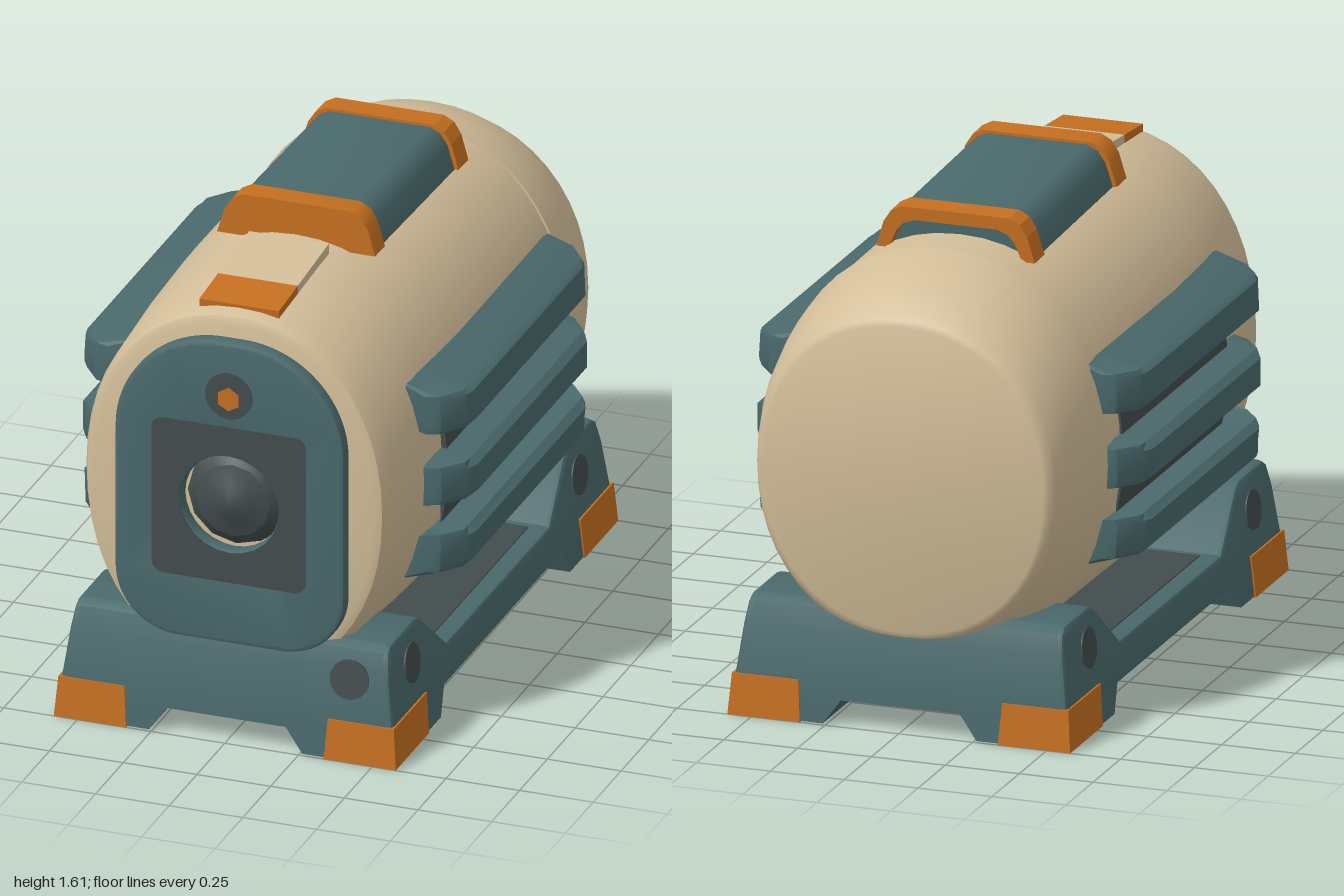
import * as THREE from 'three';
import { toCreasedNormals } from 'three/addons/utils/BufferGeometryUtils.js';

const mat = (name, color) => Object.assign(new THREE.MeshStandardMaterial({ color }), { name });

// Skin closed rings of [x, y, z] points; rings run counter-clockwise seen from +z, front to back.
function loft(rings, crease = 0.6) {
  const n = rings[0].length, index = [];
  for (let i = 0; i < rings.length - 1; i++) {
    for (let j = 0; j < n; j++) {
      const k = (j + 1) % n, a = i * n + j, b = i * n + k, c = b + n, d = a + n;
      index.push(a, d, c, a, c, b);
    }
  }
  const last = (rings.length - 1) * n;
  for (let j = 1; j < n - 1; j++) index.push(0, j, j + 1, last, last + j + 1, last + j);
  const g = new THREE.BufferGeometry();
  g.setAttribute('position', new THREE.Float32BufferAttribute(rings.flat(2), 3));
  g.setIndex(index);
  return toCreasedNormals(g, crease);
}

// Box with different bottom and top rectangles: [x0, x1, z0, z1]
function frustum(y0, y1, bottom, top) {
  const g = new THREE.BoxGeometry(1, 1, 1), p = g.attributes.position;
  for (let i = 0; i < p.count; i++) {
    const r = p.getY(i) > 0 ? top : bottom;
    p.setXYZ(i, r[p.getX(i) > 0 ? 1 : 0], p.getY(i) > 0 ? y1 : y0, r[p.getZ(i) > 0 ? 3 : 2]);
  }
  g.computeVertexNormals();
  return g;
}

// Rounded outline with separate bottom and top corner radii
function roundedShape(x, y0, y1, rb, rt) {
  const s = new THREE.Shape();
  s.absarc(x - rb, y0 + rb, rb, -Math.PI / 2, 0, false);
  s.absarc(x - rt, y1 - rt, rt, 0, Math.PI / 2, false);
  s.absarc(-x + rt, y1 - rt, rt, Math.PI / 2, Math.PI, false);
  s.absarc(-x + rb, y0 + rb, rb, Math.PI, Math.PI * 1.5, false);
  s.closePath();
  return s;
}

function withHole(shape, x, y, r) {
  const h = new THREE.Path();
  h.absarc(x, y, r, 0, Math.PI * 2, true);
  shape.holes.push(h);
  return shape;
}

export function createModel() {
  const model = new THREE.Group();
  model.name = 'portableMachine';
  const beige = mat('beige', 0xd3be99), teal = mat('teal', 0x4a696c);
  const orange = mat('orange', 0xc56f20), dark = mat('darkGrey', 0x434c4d);
  const add = (name, geometry, material, parent = model) => {
    const m = new THREE.Mesh(geometry, material);
    m.name = name;
    parent.add(m);
    return m;
  };

  // Barrel body with a recess in the front
  const CY = 0.835;
  const pt = (t, rx, ry, z) => {
    const c = Math.cos(t), s = Math.sin(t), e = 0.94;
    return [rx * Math.sign(c) * Math.abs(c) ** e, CY + ry * Math.sign(s) * Math.abs(s) ** e, z];
  };
  const oval = ([z, rx, ry]) => Array.from({ length: 48 }, (_, i) => pt(i / 24 * Math.PI, rx, ry, z));
  add('body', loft([
    [0.84, 0.3, 0.4], [0.92, 0.3, 0.4], [0.92, 0.475, 0.595], [0.91, 0.5, 0.62], [0.86, 0.522, 0.638],
    [0.5, 0.545, 0.663], [0.2, 0.555, 0.672], [-0.61, 0.555, 0.66],
  ].map(oval)), beige);
  add('rearShroud', loft([
    [-0.605, 0.562, 0.667], [-0.72, 0.552, 0.648], [-0.85, 0.53, 0.605], [-0.93, 0.505, 0.555],
    [-0.955, 0.49, 0.53], [-0.963, 0.475, 0.51],
  ].map(oval)), beige);

  // Front panel with the dark square and recessed hub
  const panel = new THREE.ExtrudeGeometry(withHole(roundedShape(0.375, 0.345, 1.37, 0.2, 0.34), 0, 0.82, 0.18), {
    depth: 0.03, bevelThickness: 0.015, bevelSize: 0.015, bevelSegments: 2, curveSegments: 14,
  });
  add('frontPanel', toCreasedNormals(panel, 0.6), teal).position.z = 0.917;
  const square = withHole(roundedShape(0.262, 0.547, 1.09, 0.04, 0.04), 0, 0.82, 0.17);
  add('frontPanelSquare', new THREE.ExtrudeGeometry(square, { depth: 0.005, bevelEnabled: false }), dark)
    .position.z = 0.96;
  const hubProfile = [[0.175, 0], [0.165, 0.05], [0.125, 0.085], [0.06, 0.105], [0.035, 0.118], [0, 0.122]]
    .map(([x, y]) => new THREE.Vector2(x, y));
  const hubGeo = toCreasedNormals(new THREE.LatheGeometry(hubProfile, 12), 0.4);
  const hub = add('frontHub', hubGeo, dark);
  hub.rotation.x = Math.PI / 2;
  hub.position.set(0, 0.82, 0.845);

  const disc = (name, r, h, x, y, z, rx, rz, material, sides = 24) => {
    const m = add(name, new THREE.CylinderGeometry(r, r, h, sides), material);
    m.position.set(x, y, z);
    m.rotation.set(rx, 0, rz);
  };
  disc('lampRing', 0.08, 0.006, 0, 1.2, 0.963, Math.PI / 2, 0, dark);
  disc('lamp', 0.04, 0.012, 0, 1.19, 0.964, Math.PI / 2, 0, orange, 6);

  // Side fins, turned half round for the other side
  const finProfiles = [
    [[0.42, 1.04], [0.64, 1.01], [0.665, 1.03], [0.655, 1.125], [0.635, 1.14], [0.42, 1.185]],
    [[0.45, 0.745], [0.645, 0.762], [0.67, 0.78], [0.67, 0.87], [0.645, 0.89], [0.45, 0.915]],
    [[0.42, 0.48], [0.635, 0.525], [0.655, 0.54], [0.665, 0.635], [0.64, 0.655], [0.42, 0.625]],
  ];
  const finSteps = [[0.62, 0.55], [0.605, 0.59], [0.53, 0.65], [0.49, 0.7], [-0.49, 0.7], [-0.53, 0.65], [-0.605, 0.59], [-0.62, 0.55]];
  for (const side of [1, -1]) {
    const fins = new THREE.Group();
    fins.name = side > 0 ? 'leftFins' : 'rightFins';
    fins.rotation.y = side > 0 ? 0 : Math.PI;
    fins.position.z = 0.01;
    model.add(fins);
    for (const profile of finProfiles) {
      add('fin', loft(finSteps.map(([z, limit]) => profile.map(([x, y]) => [Math.min(x, limit - (0.67 - x) * 0.3), y, z])), 0.5), teal, fins);
    }
    // Dark grille curved over the body between the fins
    const arc = (z) => Array.from({ length: 13 }, (_, i) => pt((i - 6) / 6 * 0.29, 0.562, 0.672, z));
    add('grille', loft([arc(0.48), arc(-0.48)]), dark, fins);
  }

  // Base: side profile extruded across, narrowing upwards
  const half = [[0.46, 0.21], [0.65, 0.375], [0.69, 0.39], [0.905, 0.39], [0.935, 0.37], [0.96, 0.3], [0.983, 0.14], [0.988, 0.085]];
  const outline = [...half, ...half.map(([z, y]) => [-z, y]).reverse()].map(([z, y]) => new THREE.Vector2(z, y));
  const base = new THREE.ExtrudeGeometry(new THREE.Shape(outline), {
    depth: 1.12, bevelThickness: 0.02, bevelSize: 0.015, bevelOffset: -0.015, bevelSegments: 2,
  });
  base.translate(0, 0, -0.56).rotateY(-Math.PI / 2);
  const bp = base.attributes.position;
  for (let i = 0; i < bp.count; i++) bp.setX(i, bp.getX(i) * (1 - 0.22 * bp.getY(i)));
  add('base', toCreasedNormals(base, 0.6), teal);
  add('baseDeck', new THREE.BoxGeometry(0.98, 0.008, 0.86), dark).position.set(0, 0.21, 0);

  // Four feet with orange corner caps and side discs
  for (const sx of [1, -1]) {
    for (const sz of [1, -1]) {
      const rect = (xi, xo, zi, zo) => [
        Math.min(sx * xi, sx * xo), Math.max(sx * xi, sx * xo), Math.min(sz * zi, sz * zo), Math.max(sz * zi, sz * zo)];
      add('foot', frustum(0.003, 0.1, rect(0.26, 0.575, 0.58, 0.993), rect(0.19, 0.567, 0.53, 0.985)), teal);
      add('footCap', frustum(0, 0.137, rect(0.335, 0.58, 0.7, 1), rect(0.345, 0.569, 0.69, 0.988)), orange);
      disc('sideDisc', 0.066, 0.008, sx * 0.546, 0.27, sz > 0 ? 0.765 : -0.74, 0, sx * (Math.PI / 2 + 0.127), dark);
    }
  }
  disc('frontDisc', 0.066, 0.008, 0.41, 0.275, 0.964, Math.PI / 2 - 0.14, 0, dark);

  // Top handle: solid grip between two orange end hoops
  const handle = new THREE.Group();
  handle.name = 'handle';
  handle.rotation.x = -0.034;
  handle.position.set(0, 1.455, -0.06);
  model.add(handle);
  const arch = (w, h) => [[-w, 0], [w, 0], [w - 0.025, h * 0.6], [w - 0.05, h * 0.87], [w - 0.085, h],
    [-w + 0.085, h], [-w + 0.05, h * 0.87], [-w + 0.025, h * 0.6]];
  const block = (w, h, z0, z1) => loft([z1, z0].map((z) => arch(w, h).map(([x, y]) => [x, y, z])), 0.7);
  add('handleGrip', block(0.255, 0.133, -0.38, 0.37), teal, handle);
  add('handleFront', block(0.268, 0.142, 0.33, 0.42), orange, handle);
  const [outer, inner] = [arch(0.268, 0.142), arch(0.225, 0.1)].map((a) => a.map(([x, y]) => new THREE.Vector2(x, y)));
  const hoop = new THREE.Shape([...outer.slice(1), outer[0], inner[0], ...inner.slice(1).reverse()]);
  add('handleRear', new THREE.ExtrudeGeometry(hoop, { depth: 0.09, bevelEnabled: false }), orange, handle)
    .position.z = -0.42;

  // Sloping plate ahead of the handle, orange at its front
  const plate = new THREE.Group();
  plate.name = 'topPlate';
  plate.rotation.x = 0.09;
  plate.position.set(0, 1.482, 0.645);
  model.add(plate);
  add('plateRear', new THREE.BoxGeometry(0.27, 0.035, 0.28), beige, plate).position.z = -0.085;
  add('plateFront', new THREE.BoxGeometry(0.27, 0.035, 0.17), orange, plate).position.z = 0.14;

  return model;
}
